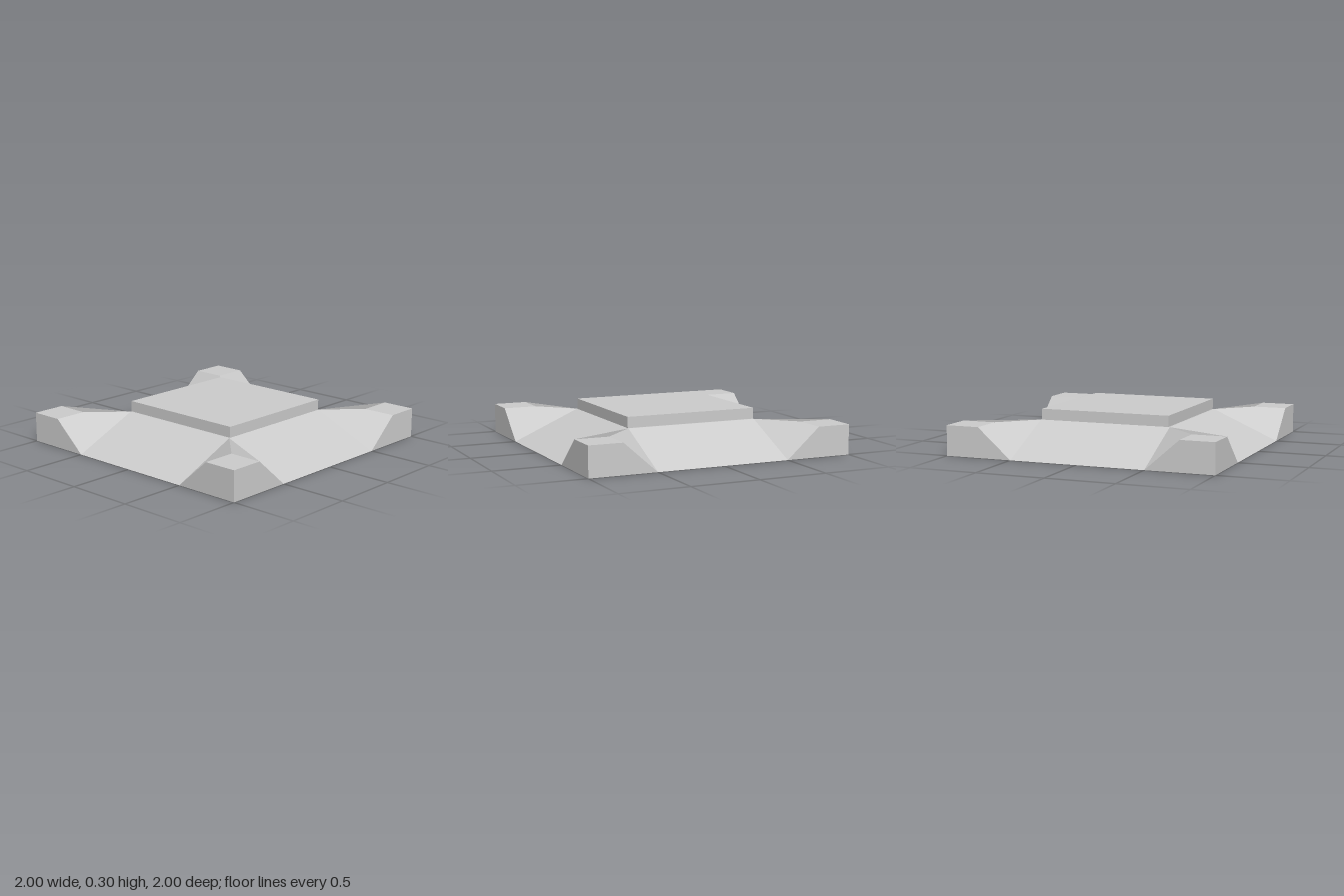
import * as THREE from 'three';

const H = 0.22; // height of the corner blocks and the ramp tops
const I = 0.5;  // inner edge of the ramps
const M = 0.75; // inner edge of the corner blocks

const material = new THREE.MeshStandardMaterial({ color: 0xcccccc });

// Builds four-cornered faces, each shaded with a single normal and split along its first diagonal
function quads(name, faces) {
  const positions = [], normals = [];
  for (const face of faces) {
    const [a, b, c, d] = face.map((p) => new THREE.Vector3(...p));
    const n = c.clone().sub(a).cross(d.clone().sub(b)).normalize();
    for (const p of [a, b, c, a, c, d]) {
      positions.push(p.x, p.y, p.z);
      normals.push(n.x, n.y, n.z);
    }
  }
  const geometry = new THREE.BufferGeometry();
  geometry.setAttribute('position', new THREE.Float32BufferAttribute(positions, 3));
  geometry.setAttribute('normal', new THREE.Float32BufferAttribute(normals, 3));
  const mesh = new THREE.Mesh(geometry, material);
  mesh.name = name;
  return mesh;
}

export function createModel() {
  const group = new THREE.Group();
  group.name = 'rampedPlatform';

  const inner = [I, H, I];
  const block = [M, H, M];

  for (let i = 0; i < 4; i++) {
    const side = new THREE.Group();
    side.name = 'side' + (i + 1);
    side.rotation.y = i * Math.PI / 2;

    // ramp from the platform down to the outer edge
    side.add(quads('ramp', [[[-I, H, I], [-I, 0, 1], [I, 0, 1], inner]]));

    // raised corner with twisted flanks running down to both ramps
    side.add(quads('cornerBlock', [
      [inner, [I, 0, 1], [M, H, 1], block],
      [inner, block, [1, H, M], [1, 0, I]],
      [block, [M, H, 1], [1, H, 1], [1, H, M]],
      [[I, 0, 1], [1, 0, 1], [1, H, 1], [M, H, 1]],
      [[1, 0, 1], [1, 0, I], [1, H, M], [1, H, 1]],
    ]));
    group.add(side);
  }

  // level ground between the ramp tops, and the underside
  group.add(quads('platform', [[[-I, H, -I], [-I, H, I], [I, H, I], [I, H, -I]]]));
  group.add(quads('underside', [[[-1, 0, -1], [1, 0, -1], [1, 0, 1], [-1, 0, 1]]]));

  // raised slab in the middle
  const slab = new THREE.Mesh(new THREE.BoxGeometry(1, 0.08, 0.98), material);
  slab.name = 'centreSlab';
  slab.position.y = H + 0.04;
  group.add(slab);

  return group;
}
